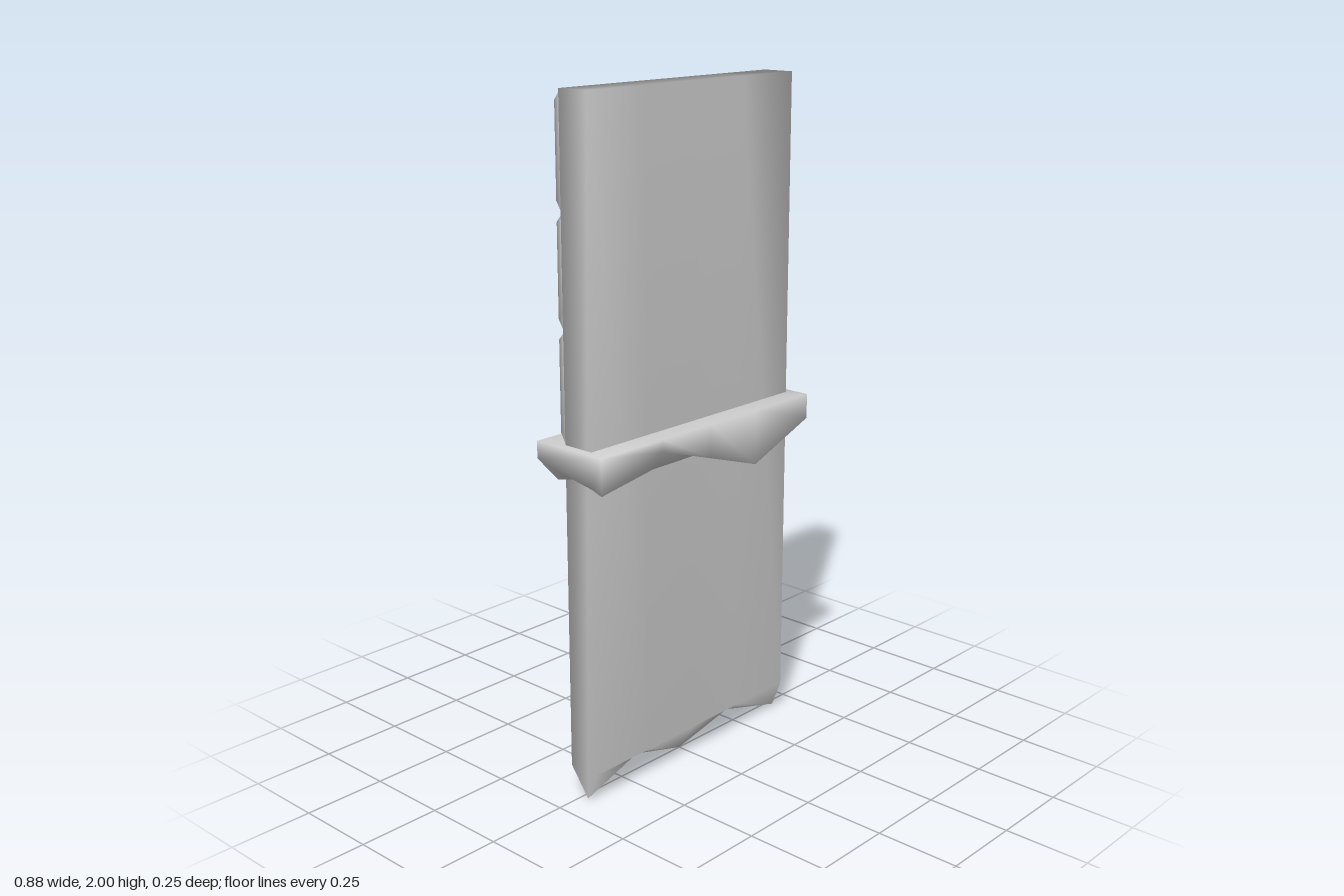
import * as THREE from 'three';
import { mergeVertices } from 'three/addons/utils/BufferGeometryUtils.js';

// The whole bar is turned very slightly, so z drifts with x
const skew = (geo) => {
  const p = geo.attributes.position;
  for (let i = 0; i < p.count; i++) p.setZ(i, p.getZ(i) - 0.0075 * p.getX(i));
  geo.computeVertexNormals();
  return geo;
};

// Smooth solid through closed [z, y] sections placed along x
function loft(stations) {
  const n = stations[0].loop.length;
  const pos = [], idx = [];
  stations.forEach(({ x, loop }) => loop.forEach(([z, y]) => pos.push(x, y, z)));
  for (let i = 0; i < stations.length - 1; i++) {
    for (let j = 0; j < n; j++) {
      const a = i * n + j, b = i * n + (j + 1) % n;
      idx.push(a, b, b + n, a, b + n, a + n);
    }
  }
  // end caps
  const last = (stations.length - 1) * n;
  const cap = (s) => THREE.ShapeUtils.triangulateShape(s.loop.map(([z, y]) => new THREE.Vector2(-z, y)), []);
  cap(stations[0]).forEach(([a, b, c]) => idx.push(a, c, b));
  cap(stations[stations.length - 1]).forEach(([a, b, c]) => idx.push(last + a, last + b, last + c));
  const geo = new THREE.BufferGeometry();
  geo.setAttribute('position', new THREE.Float32BufferAttribute(pos, 3));
  geo.setIndex(idx);
  return skew(geo);
}

// Raised square with bevelled sides, its base sunk into the slab
function tileGeometry(x, y) {
  let geo = new THREE.BoxGeometry(0.206, 0.314, 0.033);
  geo.deleteAttribute('normal');
  geo.deleteAttribute('uv');
  geo = mergeVertices(geo);
  const p = geo.attributes.position;
  for (let i = 0; i < p.count; i++) {
    if (p.getZ(i) < 0) {
      p.setX(i, p.getX(i) - Math.sign(p.getX(i)) * 0.013);
      p.setY(i, p.getY(i) - Math.sign(p.getY(i)) * 0.027);
    }
  }
  geo.translate(x, y, -0.0545);
  return skew(geo);
}

export function createModel() {
  const group = new THREE.Group();
  const material = new THREE.MeshStandardMaterial({ color: 0xcccccc });
  const add = (name, geo, parent = group) => {
    const mesh = new THREE.Mesh(geo, material);
    mesh.name = name;
    parent.add(mesh);
  };

  // Slab, pinched at the foot into a zigzag ridge: [x, ridge z, ridge y]
  const ridge = [
    [-0.415, 0.025, 0.005], [-0.2, 0.012, 0.06], [0, 0, 0],
    [0.2, 0.018, 0.06], [0.415, 0.028, 0.005],
  ];
  add('slab', loft(ridge.map(([x, z, y]) => ({
    x, loop: [[0.06, 2], [0.06, 0.09], [z, y], [-0.04, 0.09], [-0.04, 2]],
  }))));

  // Torn wrapper collar: [x, front edge y, back edge y]
  const edge = [
    [-0.44, 0.945, 1.0], [-0.2, 1.015, 0.975], [0, 0.95, 0.975],
    [0.2, 0.885, 0.89], [0.44, 0.975, 0.775],
  ];
  add('wrapperCollar', loft(edge.map(([x, front, back]) => ({
    x,
    loop: [[0.122, 1.05], [0.122, front], [0.085, 0.957], [0.01, 0.97],
      [-0.045, 0.957], [-0.126, back], [-0.126, 1.05]],
  }))));

  // Four by three squares on the back
  const tiles = new THREE.Group();
  tiles.name = 'squares';
  group.add(tiles);
  for (let row = 0; row < 3; row++) {
    for (let col = 0; col < 4; col++) {
      add('square', tileGeometry((col - 1.5) * 0.207, 1.838 - row * 0.316), tiles);
    }
  }
  return group;
}
